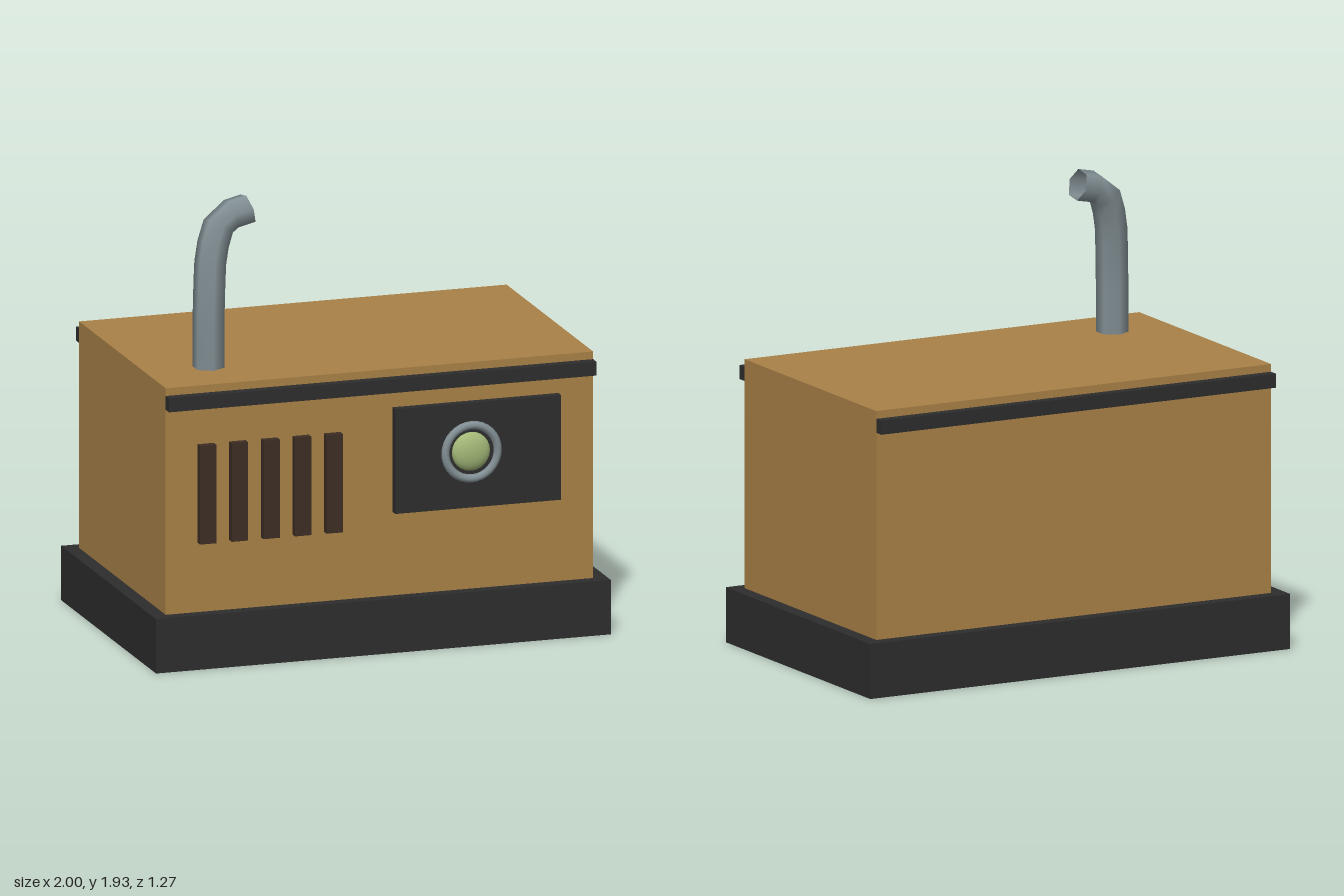
import * as THREE from 'three';

const paint = (name, color, side = THREE.FrontSide) => {
  const m = new THREE.MeshStandardMaterial({ color, side });
  m.name = name;
  return m;
};

export function createModel() {
  const group = new THREE.Group();
  const ochre = paint('ochre casing', 0xa98147);
  const charcoal = paint('charcoal', 0x2d2d2d);
  const brown = paint('dark brown', 0x3c2d23);
  const steel = paint('grey steel', 0x828f94, THREE.DoubleSide);
  const green = paint('pale green glass', 0xa3b878);

  const add = (name, geometry, material) => {
    const mesh = new THREE.Mesh(geometry, material);
    mesh.name = name;
    group.add(mesh);
    return mesh;
  };
  // Box given by its limits on each axis
  const box = (name, material, [x0, x1], [y0, y1], [z0, z1]) =>
    add(name, new THREE.BoxGeometry(x1 - x0, y1 - y0, z1 - z0), material)
      .position.set((x0 + x1) / 2, (y0 + y1) / 2, (z0 + z1) / 2);

  // Plinth, casing and the two trim rails
  box('base', charcoal, [-1, 1], [0, 0.235], [-0.635, 0.615]);
  box('casing', ochre, [-0.94, 0.94], [0.235, 1.213], [-0.578, 0.562]);
  box('frontRail', charcoal, [-0.94, 0.94], [1.12, 1.18], [0.562, 0.605]);
  box('backRail', charcoal, [-0.94, 0.94], [1.12, 1.18], [-0.621, -0.578]);

  // Vent slats
  for (let i = 0; i < 5; i++) {
    const x = -0.8 + i * 0.139;
    box('ventSlat', brown, [x, x + 0.072], [0.535, 0.96], [0.555, 0.597]);
  }

  // Control panel with a round gauge
  box('controlPanel', charcoal, [0.058, 0.787], [0.595, 1.047], [0.555, 0.598]);
  add('gaugeRing', new THREE.TorusGeometry(0.115, 0.018, 8, 32), steel)
    .position.set(0.39, 0.838, 0.607);
  const lens = add('gaugeLens', new THREE.SphereGeometry(0.084, 24, 8, 0, Math.PI * 2, 0, Math.PI / 2), green);
  lens.rotation.x = Math.PI / 2;
  lens.scale.y = 0.45;
  lens.position.set(0.39, 0.838, 0.597);

  // Open six-sided exhaust pipe bending over at the top
  const path = new THREE.CatmullRomCurve3([
    [-0.662, 1.19, 0.29],
    [-0.658, 1.5, 0.287],
    [-0.637, 1.72, 0.268],
    [-0.585, 1.835, 0.25],
    [-0.47, 1.87, 0.24],
  ].map((p) => new THREE.Vector3(...p)));
  add('exhaustPipe', new THREE.TubeGeometry(path, 10, 0.068, 6), steel);

  return group;
}
